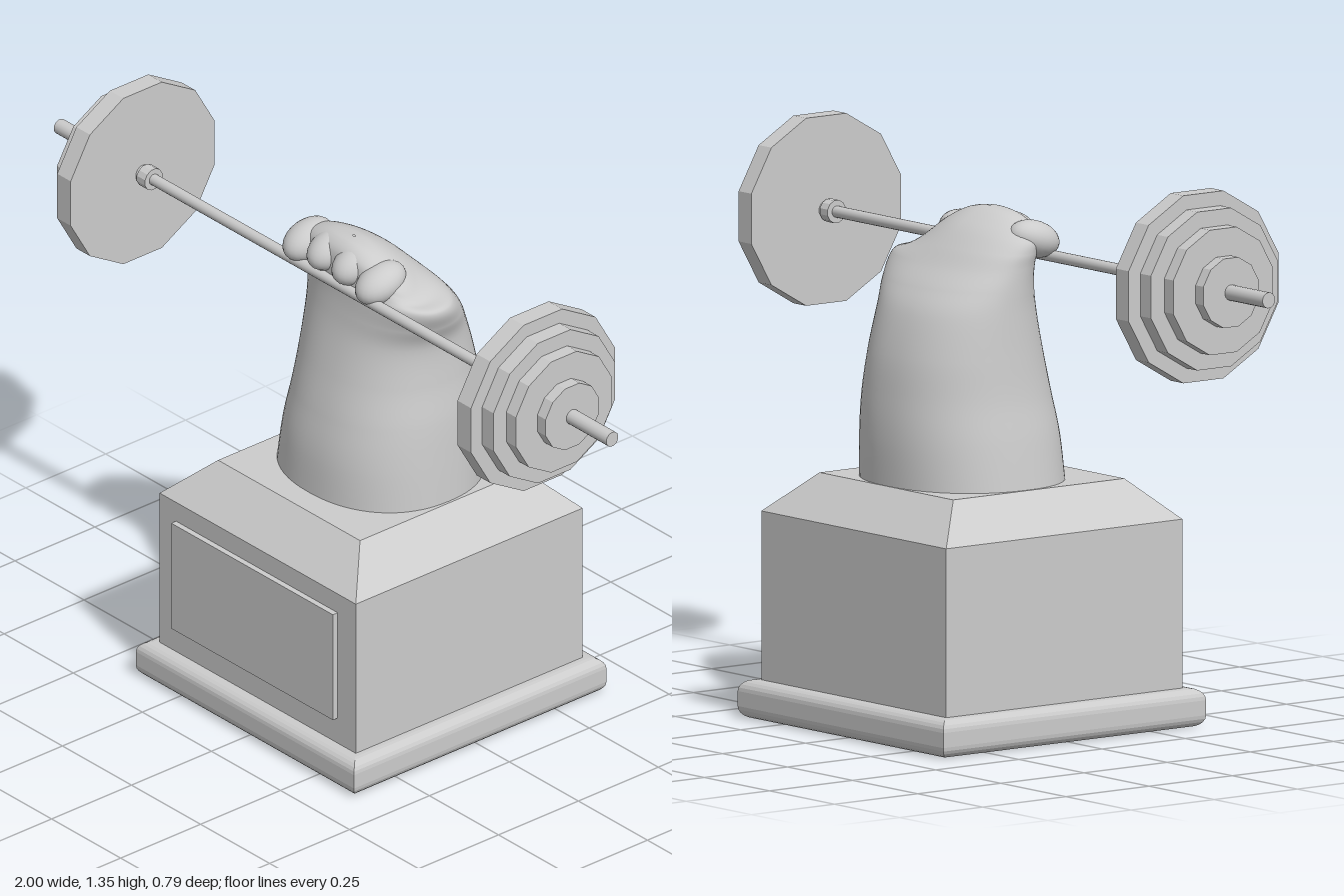
import * as THREE from 'three';
import { ParametricGeometry } from 'three/addons/geometries/ParametricGeometry.js';

const smooth = new THREE.MeshStandardMaterial({ color: 0xcccccc });
const flat = new THREE.MeshStandardMaterial({ color: 0xcccccc, flatShading: true });

function add(parent, name, geometry, material, x = 0, y = 0, z = 0) {
  const mesh = new THREE.Mesh(geometry, material);
  mesh.name = name;
  mesh.position.set(x, y, z);
  parent.add(mesh);
  return mesh;
}

// Square-plan solid from a [half width, y] profile
function squareLathe(profile) {
  const points = profile.map(([h, y]) => new THREE.Vector2(h * Math.SQRT2, y));
  return new THREE.LatheGeometry(points, 4, Math.PI / 4);
}

function createPedestal() {
  const group = new THREE.Group();
  group.name = 'pedestal';
  // Foot slab with rounded rim
  const r = 0.028, half = 0.395, top = 0.092;
  const rim = [[0, 0]];
  for (let i = 0; i <= 10; i++) {
    const a = -Math.PI / 2 + (Math.min(i, 5) + Math.max(i - 5, 0)) * Math.PI / 10;
    if (i === 5) rim.push([half, r], [half, top - r]);
    else rim.push([half - r + r * Math.cos(a), (i < 5 ? r : top - r) + r * Math.sin(a)]);
  }
  rim.push([0, top]);
  add(group, 'footSlab', squareLathe(rim), flat);
  add(group, 'block', squareLathe([[0, 0.08], [0.355, 0.08], [0.355, 0.497], [0.257, 0.592], [0, 0.592]]), flat);
  add(group, 'plaque', new THREE.BoxGeometry(0.585, 0.286, 0.03), flat, -0.003, 0.303, 0.355);
  return group;
}

// Forearm bending into a fist: level, left/right extents, back/front extents
const SECTIONS = [
  [0.57, -0.255, 0.252, -0.255, 0.197],
  [0.70, -0.235, 0.244, -0.257, 0.190],
  [0.80, -0.217, 0.236, -0.250, 0.172],
  [0.90, -0.207, 0.222, -0.235, 0.148],
  [1.00, -0.200, 0.217, -0.203, 0.125],
  [1.06, -0.197, 0.237, -0.165, 0.115],
  [1.11, -0.195, 0.250, -0.120, 0.110],
  [1.15, -0.195, 0.220, -0.085, 0.110],
  [1.19, -0.188, 0.190, -0.045, 0.108],
  [1.215, -0.160, 0.160, -0.010, 0.100],
  [1.232, -0.090, 0.080, 0.025, 0.080],
  [1.236, -0.004, 0.004, 0.050, 0.056],
];

function createArm() {
  const group = new THREE.Group();
  group.name = 'armAndFist';
  const spline = (fn) => new THREE.CatmullRomCurve3(SECTIONS.map(fn), false, 'catmullrom', 0.5);
  const low = spline(([y, xl, , zb]) => new THREE.Vector3(xl, y, zb));
  const high = spline(([y, , xr, , zf]) => new THREE.Vector3(xr, y, zf));
  const a = new THREE.Vector3(), b = new THREE.Vector3();
  const round = (v) => Math.sign(v) * Math.pow(Math.abs(v), 0.9);
  const surface = (u, v, target) => {
    low.getPoint(v, a);
    high.getPoint(v, b);
    const t = u * Math.PI * 2;
    const x = (a.x + b.x) / 2 + round(Math.cos(t)) * (b.x - a.x) / 2;
    const z = (a.z + b.z) / 2 - round(Math.sin(t)) * (b.z - a.z) / 2;
    // Knuckle line drops away from the middle, more on the thumb side
    const drop = THREE.MathUtils.smoothstep(a.y, 1.11, 1.22) * x * x * (x > 0 ? 1.8 : 0.6);
    target.set(x, a.y - drop, z);
  };
  add(group, 'forearm', new ParametricGeometry(surface, 64, 66), smooth);

  // Fingers curled over the bar
  const finger = new THREE.SphereGeometry(1, 24, 16);
  [[-0.147, 1.172], [-0.06, 1.184], [0.03, 1.182], [0.115, 1.164]].forEach(([x, y]) => {
    const mesh = add(group, 'finger', finger, smooth, x, y, 0.07);
    mesh.scale.set(0.05, 0.044, 0.07);
    mesh.rotation.x = 0.3;
  });
  return group;
}

function createBarbell() {
  const group = new THREE.Group();
  group.name = 'barbell';
  group.position.set(0, 1.129, 0.11);
  // Cylinder along x between two positions
  const rod = (name, r, x0, x1, sides, material) => {
    const g = new THREE.CylinderGeometry(r, r, Math.abs(x1 - x0), sides);
    g.rotateY(Math.PI / sides);
    g.rotateZ(Math.PI / 2);
    return add(group, name, g, material, (x0 + x1) / 2);
  };
  rod('bar', 0.014, -0.71, 0.71, 16, smooth);
  const plates = [[0.225, 0.70, 0.749], [0.19, 0.749, 0.79], [0.15, 0.79, 0.825], [0.083, 0.825, 0.855]];
  for (const s of [-1, 1]) {
    rod('sleeve', 0.019, s * 0.69, s, 16, smooth);
    rod('collar', 0.028, s * 0.66, s * 0.69, 12, flat);
    rod('collarRing', 0.022, s * 0.69, s * 0.705, 12, flat);
    plates.forEach(([apothem, x0, x1]) =>
      rod('weightPlate', apothem / Math.cos(Math.PI / 12), s * x0, s * x1, 12, flat));
  }
  return group;
}

export function createModel() {
  const model = new THREE.Group();
  model.name = 'weightliftingTrophy';
  model.add(createPedestal(), createArm(), createBarbell());
  return model;
}
